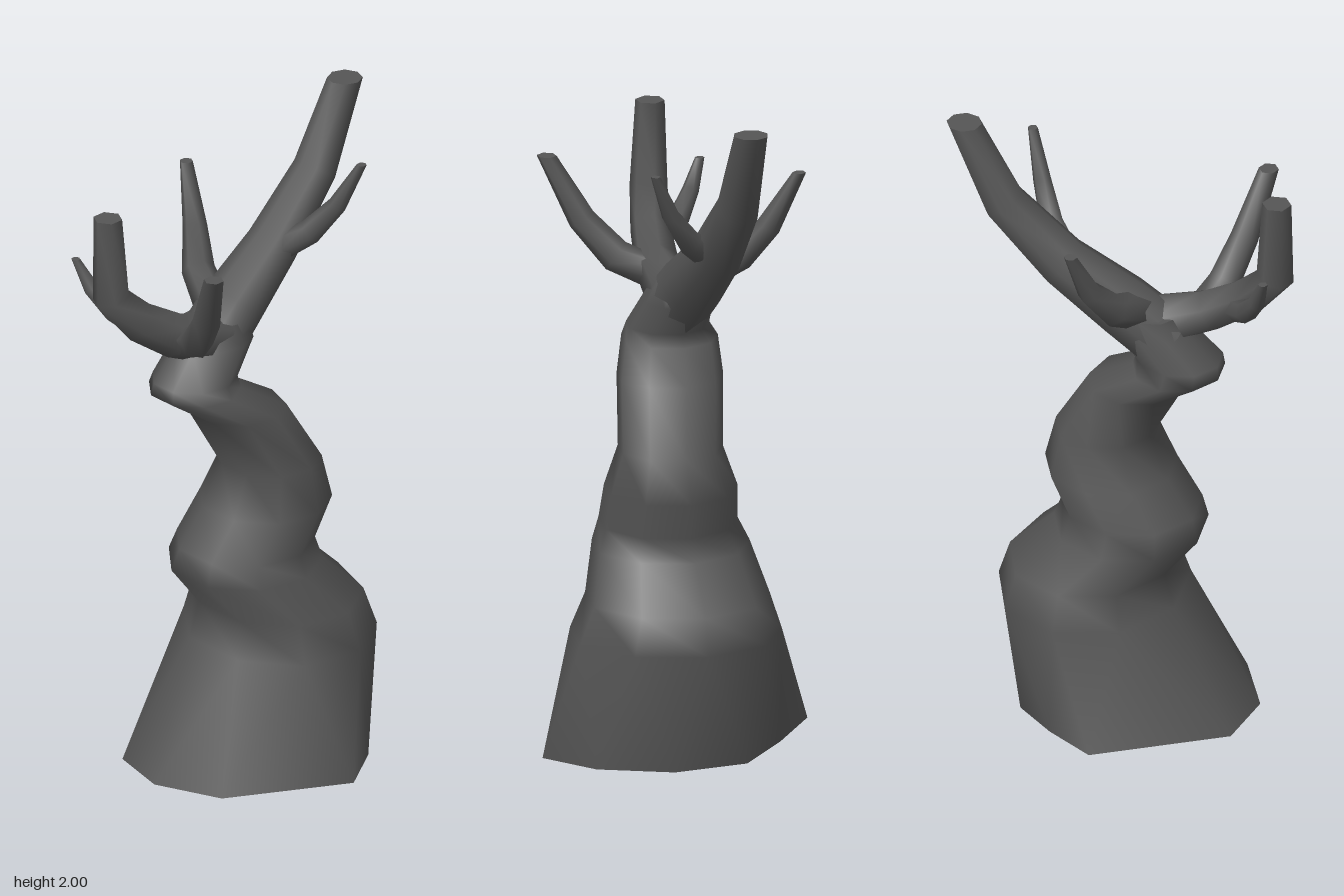
import * as THREE from 'three';

const bark = new THREE.MeshStandardMaterial({ color: 0x555555, side: THREE.DoubleSide });

// Smooth skin through equal-sized rings (each counter-clockwise about the growth direction),
// open at the start and closed by a flat cut at the tip.
function loft(name, rings) {
  const n = rings[0].length, last = rings.length - 1;
  const pts = rings.flat();
  const index = [];
  for (let r = 0; r < last; r++) {
    for (let i = 0; i < n; i++) {
      const a = r * n + i, b = r * n + (i + 1) % n;
      index.push(a, b, a + n, b, b + n, a + n);
    }
  }
  // the cut uses its own vertices so its edge stays sharp
  const start = pts.length;
  pts.push(...rings[last]);
  for (let i = 1; i < n - 1; i++) index.push(start, start + i, start + i + 1);

  const geo = new THREE.BufferGeometry().setFromPoints(pts);
  geo.setIndex(index);
  geo.computeVertexNormals();
  const mesh = new THREE.Mesh(geo, bark);
  mesh.name = name;
  return mesh;
}

// Nine-sided ring filling the given x and z limits.
function trunkRing([y, x0, x1, z0, z1]) {
  return Array.from({ length: 9 }, (_, i) => {
    const a = THREE.MathUtils.degToRad(186 - 40 * i);
    return new THREE.Vector3(
      (x0 + x1) / 2 + Math.cos(a) * 1.02 * (x1 - x0) / 2, y,
      (z0 + z1) / 2 + Math.sin(a) * 1.02 * (z1 - z0) / 2);
  });
}

// Tapering limb along a path of [x, y, z, radius], cut level at the tip.
function limb(name, path, sides = 6) {
  const p = path.map(([x, y, z]) => new THREE.Vector3(x, y, z));
  const rings = p.map((c, k) => {
    const t = k === p.length - 1
      ? new THREE.Vector3(0, 1, 0)
      : p[k + 1].clone().sub(p[Math.max(k - 1, 0)]).normalize();
    const u = new THREE.Vector3(0.3, 0, 1).cross(t).normalize();
    const v = t.clone().cross(u);
    return Array.from({ length: sides }, (_, i) => {
      const a = i / sides * Math.PI * 2, r = path[k][3];
      return c.clone().addScaledVector(u, Math.cos(a) * r).addScaledVector(v, Math.sin(a) * r);
    });
  });
  return loft(name, rings);
}

export function createModel() {
  const tree = new THREE.Group();
  tree.name = 'bareTree';

  // uneven, open foot of the trunk
  const foot = [
    [-0.36, 0, -0.07], [-0.36, 0, 0.13], [-0.23, 0, 0.31], [0.165, 0, 0.4], [0.295, 0, 0.25],
    [0.345, 0, 0.02], [0.27, 0, -0.2], [0.12, 0.02, -0.31], [-0.055, 0.04, -0.405],
  ].map((c) => new THREE.Vector3(...c));

  // twisting trunk: y, x limits, z limits
  const trunk = [
    [0.37, -0.15, 0.405, -0.31, 0.315],
    [0.48, -0.12, 0.37, -0.275, 0.27],
    [0.61, -0.22, 0.235, -0.225, 0.24],
    [0.68, -0.2, 0.21, -0.19, 0.22],
    [0.8, -0.12, 0.27, -0.185, 0.21],
    [0.93, -0.06, 0.24, -0.14, 0.17],
    [1.12, -0.165, 0.125, -0.15, 0.165],
    [1.2, -0.29, -0.02, -0.145, 0.14],
    [1.24, -0.285, -0.03, -0.12, 0.125],
    [1.34, -0.2, 0.04, -0.13, 0.085],
    [1.4, -0.17, 0.02, -0.12, 0.05],
  ].map(trunkRing);
  tree.add(loft('trunk', [foot, ...trunk]));

  // two main branches
  tree.add(limb('leftBranch', [
    [-0.12, 1.3, -0.015, 0.1], [0, 1.41, -0.06, 0.097], [0.17, 1.55, -0.117, 0.08],
    [0.34, 1.74, -0.167, 0.066], [0.457, 2, -0.196, 0.053]], 8));
  tree.add(limb('rightBranch', [
    [-0.08, 1.35, -0.01, 0.085], [-0.24, 1.405, 0.03, 0.068], [-0.36, 1.48, 0.038, 0.061],
    [-0.455, 1.58, 0.035, 0.057], [-0.463, 1.84, 0.03, 0.044]]));

  // twigs
  tree.add(limb('frontTwig', [
    [-0.2, 1.38, 0.03, 0.05], [-0.23, 1.43, 0.15, 0.05],
    [-0.25, 1.54, 0.25, 0.042], [-0.28, 1.73, 0.352, 0.03]]));
  tree.add(limb('backTwig', [
    [-0.05, 1.41, -0.07, 0.058], [-0.035, 1.48, -0.2, 0.05],
    [0, 1.58, -0.285, 0.037], [0.02, 1.75, -0.375, 0.02]]));
  tree.add(limb('leftTwig', [
    [0.17, 1.55, -0.09, 0.045], [0.25, 1.61, -0.03, 0.038],
    [0.31, 1.71, 0.03, 0.028], [0.365, 1.85, 0.08, 0.015]]));
  tree.add(limb('rightTwig', [
    [-0.34, 1.45, 0.01, 0.04], [-0.4, 1.49, -0.05, 0.035],
    [-0.455, 1.56, -0.09, 0.026], [-0.49, 1.65, -0.12, 0.014]]));

  return tree;
}
